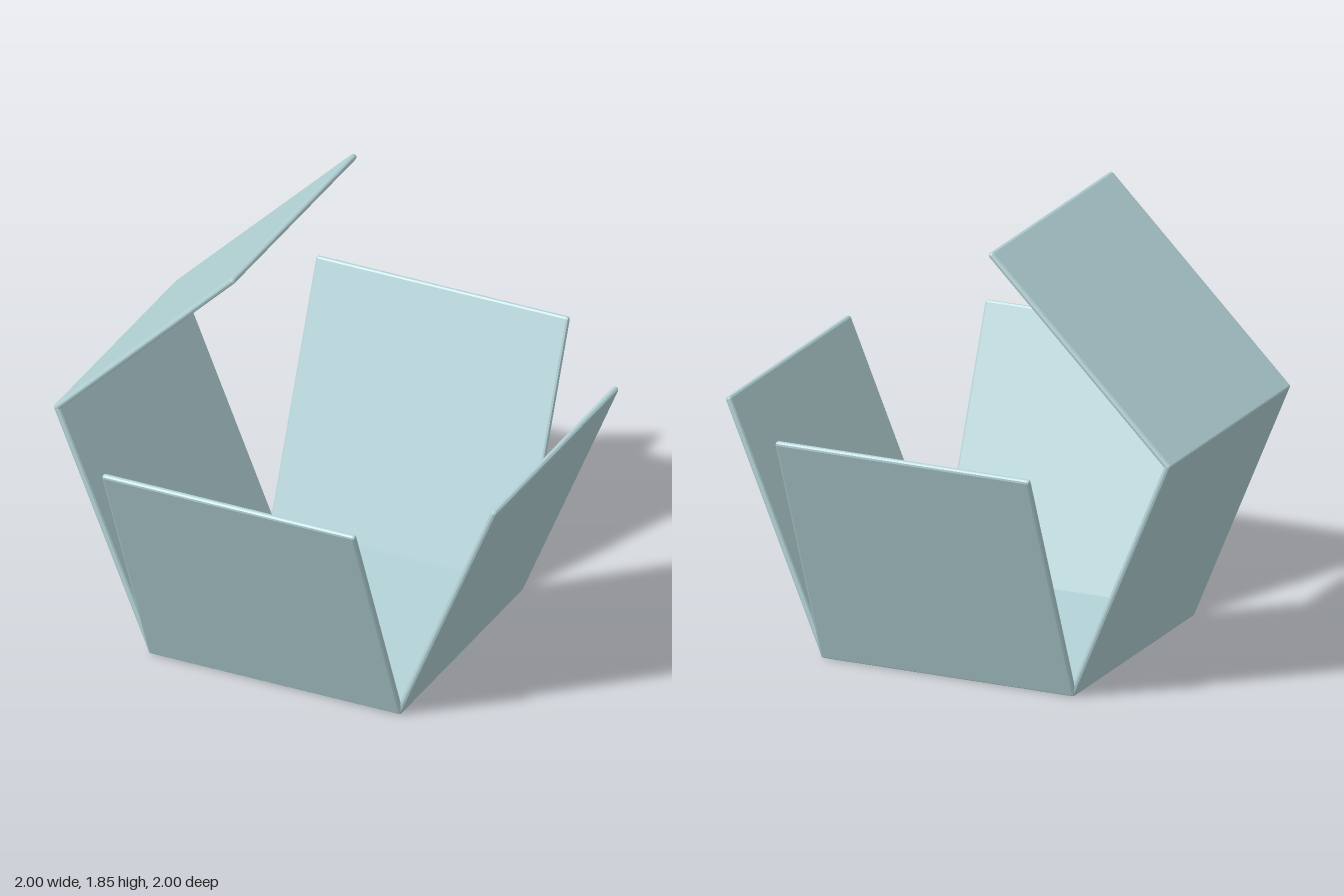
import * as THREE from 'three';
import { RoundedBoxGeometry } from 'three/addons/geometries/RoundedBoxGeometry.js';

const SPAN = 1.118;      // distance between two hinge lines
const THICK = 0.026;
const SIZE = SPAN + THICK;

export function createModel() {
  const model = new THREE.Group();
  model.name = 'openBox';
  const material = new THREE.MeshStandardMaterial({ color: 0xb4d3d7, flatShading: true });
  const panelGeometry = new RoundedBoxGeometry(SIZE, THICK, SIZE, 1, 0.011);

  // A hinge group holding a square panel that extends along its local +x
  function hingedPanel(name, x, y, angle) {
    const hinge = new THREE.Group();
    hinge.name = name + 'Hinge';
    hinge.position.set(x, y, 0);
    hinge.rotation.z = angle;
    const panel = new THREE.Mesh(panelGeometry, material);
    panel.name = name;
    panel.position.x = SPAN / 2;
    hinge.add(panel);
    return hinge;
  }

  // Floor
  const floor = new THREE.Mesh(panelGeometry, material);
  floor.name = 'floor';
  floor.position.y = THICK / 2;
  model.add(floor);

  // Four walls leaning outward from the floor edges
  const lean = THREE.MathUtils.degToRad(67.5);
  ['leftWall', 'backWall', 'rightWall', 'frontWall'].forEach((name, i) => {
    const side = new THREE.Group();
    side.name = name + 'Side';
    side.rotation.y = i * Math.PI / 2;
    side.add(hingedPanel(name, SPAN / 2, THICK / 2, lean));
    model.add(side);
  });

  // Lid hinged on the top edge of the right wall, half open over the box
  const topX = -SPAN / 2 - SPAN * Math.cos(lean);
  const topY = THICK / 2 + SPAN * Math.sin(lean);
  model.add(hingedPanel('lid', topX, topY, Math.PI / 4));

  return model;
}
